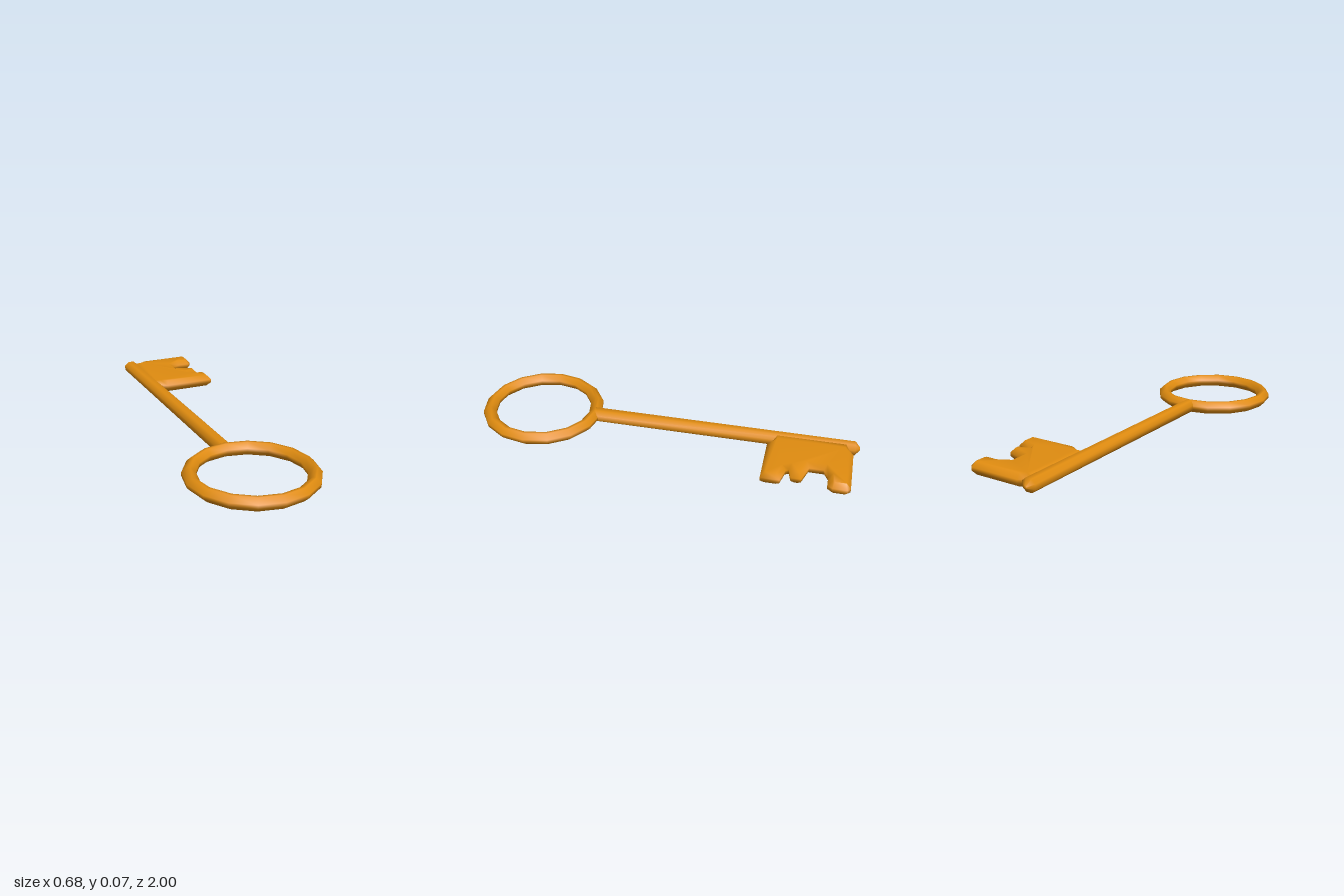
import * as THREE from 'three';
import { mergeVertices } from 'three/addons/utils/BufferGeometryUtils.js';

const HALF = 0.033; // half thickness of the key
const AXIS_X = -0.02; // shaft and ring centre line

// Weld shared corners so the facets shade smoothly
function smooth(geometry) {
  geometry.deleteAttribute('normal');
  geometry.deleteAttribute('uv');
  const welded = mergeVertices(geometry, 1e-4);
  welded.computeVertexNormals();
  return welded;
}

export function createModel() {
  const key = new THREE.Group();
  key.name = 'key';
  const gold = new THREE.MeshStandardMaterial({ color: 0xe08c10 });
  gold.name = 'gold';

  const add = (name, geometry) => {
    const mesh = new THREE.Mesh(smooth(geometry), gold);
    mesh.name = name;
    key.add(mesh);
    return mesh;
  };
  const points = (list) => list.map(([x, y]) => new THREE.Vector2(x, y));

  // Ring handle: eight-sided section swept in sixteen steps
  const r = 0.2875;
  const section = [
    [0.008, -HALF], [HALF, -0.009], [HALF, 0.009], [0.008, HALF],
    [-0.008, HALF], [-HALF, 0.009], [-HALF, -0.009], [-0.008, -HALF], [0.008, -HALF],
  ].map(([x, y]) => [r + x, y]);
  add('ringHandle', new THREE.LatheGeometry(points(section), 16)).position.set(AXIS_X, HALF, 0.675);

  // Shaft: eight-sided rod with a blunt tip
  const rod = HALF / Math.cos(Math.PI / 8);
  const shaft = new THREE.LatheGeometry(
    points([[0, -0.39], [rod, -0.39], [rod, 0.975], [0.008, 1], [0, 1]]), 8, Math.PI / 8);
  shaft.rotateX(-Math.PI / 2);
  shaft.scale(1.17, 1, 1);
  add('shaft', shaft).position.set(AXIS_X, HALF, 0);

  // Bit: toothed plate with bevelled edges, outline given as x and distance to the back
  const outline = [
    [-0.02, 0.565], [0.02, 0.565], [0.055, 0.54], [0.33, 0.54], [0.33, 0.635],
    [0.25, 0.655], [0.24, 0.67], [0.3, 0.685], [0.3, 0.735], [0.205, 0.765],
    [0.205, 0.835], [0.255, 0.86], [0.32, 0.86], [0.336, 0.885], [0.336, 0.955],
    [0.32, 0.97], [0.05, 0.97], [0.02, 0.95], [-0.02, 0.95],
  ];
  const bevel = 0.024;
  const bit = new THREE.ExtrudeGeometry(new THREE.Shape(points(outline)), {
    depth: 2 * (HALF - bevel), bevelThickness: bevel, bevelSize: 0.022,
    bevelOffset: -0.022, bevelSegments: 1,
  });
  bit.rotateX(-Math.PI / 2);
  add('bit', bit).position.y = bevel;

  return key;
}
